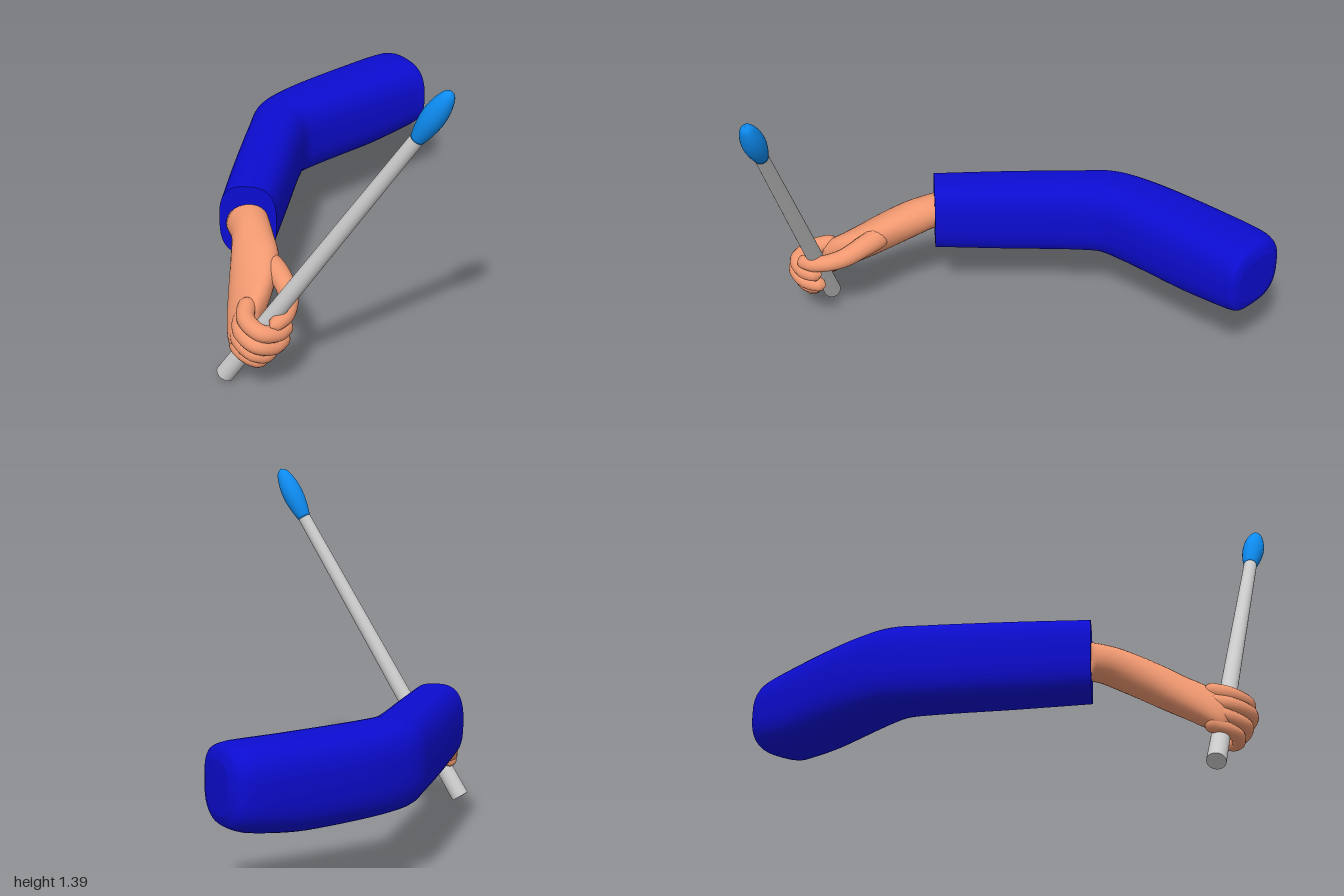
import * as THREE from 'three';

const V = (x, y, z) => new THREE.Vector3(x, y, z);

// Skin a list of equal-length closed rings, closing both ends (a repeated ring makes a crease)
function loft(rings) {
  const n = rings[0].length, pos = [], idx = [];
  rings.forEach(r => r.forEach(p => pos.push(p.x, p.y, p.z)));
  for (let i = 0; i < rings.length - 1; i++) for (let j = 0; j < n; j++) {
    const a = i * n + j, b = i * n + (j + 1) % n;
    idx.push(a, b, a + n, b, b + n, a + n);
  }
  const cap = (ring, base, flip) => {
    const c = ring.reduce((s, p) => s.add(p), V(0, 0, 0)).divideScalar(n);
    const k = pos.length / 3;
    pos.push(c.x, c.y, c.z);
    for (let j = 0; j < n; j++) {
      const a = base + j, b = base + (j + 1) % n;
      if (flip) idx.push(k, b, a); else idx.push(k, a, b);
    }
  };
  cap(rings[0], 0, true);
  cap(rings[rings.length - 1], (rings.length - 1) * n, false);
  // Turn the faces outward if the enclosed volume comes out negative
  let vol = 0;
  const P = i => V(pos[3 * i], pos[3 * i + 1], pos[3 * i + 2]);
  for (let i = 0; i < idx.length; i += 3) vol += P(idx[i]).dot(P(idx[i + 1]).cross(P(idx[i + 2])));
  if (vol < 0) idx.reverse();
  const g = new THREE.BufferGeometry();
  g.setAttribute('position', new THREE.Float32BufferAttribute(pos, 3));
  g.setIndex(idx);
  g.computeVertexNormals();
  return g;
}

const sample = (pts, n) => {
  const c = new THREE.CatmullRomCurve3(pts, false, 'centripetal');
  return Array.from({ length: n + 1 }, (_, i) => c.getPoint(i / n));
};

// Tapered, round-ended finger through a few points
function finger(points, r0, r1) {
  const curve = new THREE.CatmullRomCurve3(points.map(p => V(...p)));
  const N = 28, M = 14, len = curve.getLength();
  const { normals, binormals } = curve.computeFrenetFrames(N, false);
  const rings = [];
  for (let i = 0; i <= N; i++) {
    const t = i / N, c = curve.getPointAt(t);
    let r = THREE.MathUtils.lerp(r0, r1, t);
    const d = Math.min(t, 1 - t) * len;
    if (d < r) r *= Math.sqrt(Math.max(0.01, 1 - (1 - d / r) ** 2));
    rings.push(Array.from({ length: M }, (_, j) => {
      const a = j / M * Math.PI * 2;
      return c.clone().addScaledVector(normals[i], r * Math.cos(a)).addScaledVector(binormals[i], r * Math.sin(a));
    }));
  }
  return loft(rings);
}

// Bent sleeve: outer edge, inner edge and bottom/top height at each station
function sleeveGeometry() {
  const stations = [
    [-0.52, -0.06, -0.32, 0.05, 0.285, 0.595],
    [-0.37, -0.32, -0.17, -0.19, 0.275, 0.60],
    [-0.20, -0.60, 0.00, -0.46, 0.268, 0.603],
    [-0.12, -0.72, 0.045, -0.515, 0.265, 0.604],
    [0.02, -0.81, 0.11, -0.545, 0.26, 0.604],
    [0.33, -0.93, 0.38, -0.63, 0.255, 0.60],
    [0.56, -0.995, 0.64, -0.70, 0.28, 0.595],
    [0.62, -0.99, 0.682, -0.712, 0.30, 0.58],
    [0.653, -0.95, 0.69, -0.75, 0.345, 0.535],
  ];
  const n = 48, M = 40, e = 2 / 2.8;
  const outer = sample(stations.map(s => V(s[0], 0, s[1])), n);
  const inner = sample(stations.map(s => V(s[2], 0, s[3])), n);
  const high = sample(stations.map(s => V(s[4], s[5], 0)), n);
  const pw = v => Math.sign(v) * Math.abs(v) ** e;
  const rings = outer.map((o, i) => Array.from({ length: M }, (_, j) => {
    const a = j / M * Math.PI * 2;
    const p = o.clone().lerp(inner[i], 0.5 + 0.5 * pw(Math.cos(a)));
    p.y = THREE.MathUtils.lerp(high[i].x, high[i].y, 0.5 + 0.5 * pw(Math.sin(a)));
    return p;
  }));
  rings.unshift(rings[0].map(p => p.clone())); // crisp cuff edge
  return loft(rings);
}

// Wrist and palm: tilted ellipses [x, y, z, half length, half thickness, tilt]
function palmGeometry() {
  const s = [
    [-0.42, 0.44, -0.04, 0.085, 0.07, 0.7],
    [-0.43, 0.435, 0.05, 0.085, 0.072, 0.7],
    [-0.46, 0.40, 0.15, 0.105, 0.075, 0.75],
    [-0.495, 0.355, 0.25, 0.132, 0.072, 0.8],
    [-0.535, 0.31, 0.33, 0.135, 0.066, 0.85],
    [-0.58, 0.265, 0.41, 0.122, 0.055, 1.0],
    [-0.60, 0.25, 0.45, 0.08, 0.03, 1.1],
  ];
  const n = 30, M = 28;
  const c = sample(s.map(q => V(q[0], q[1], q[2])), n);
  const d = sample(s.map(q => V(q[3], q[4], q[5])), n);
  return loft(c.map((p, i) => Array.from({ length: M }, (_, j) => {
    const a = j / M * Math.PI * 2, u = d[i].x * Math.cos(a), v = d[i].y * Math.sin(a);
    const cs = Math.cos(d[i].z), sn = Math.sin(d[i].z);
    return V(p.x + u * cs - v * sn, p.y + u * sn + v * cs, p.z);
  })));
}

export function createModel() {
  const model = new THREE.Group();
  const mat = color => new THREE.MeshStandardMaterial({ color });
  const grey = mat(0xcccccc), skin = mat(0xf09870), cloth = mat(0x0c0cd0), blue = mat(0x0d8bf0);
  const add = (name, geo, m, parent = model) => {
    const mesh = new THREE.Mesh(geo, m);
    mesh.name = name;
    parent.add(mesh);
    return mesh;
  };

  add('sleeve', sleeveGeometry(), cloth);

  // Hand closed round the stick
  const hand = new THREE.Group();
  hand.name = 'hand';
  model.add(hand);
  add('palm', palmGeometry(), skin, hand);
  const fingers = {
    indexFinger: [[-0.565, 0.335, 0.38], [-0.61, 0.315, 0.47], [-0.585, 0.30, 0.56], [-0.52, 0.285, 0.565], [-0.455, 0.285, 0.52]],
    middleFinger: [[-0.59, 0.28, 0.38], [-0.63, 0.265, 0.47], [-0.605, 0.25, 0.56], [-0.535, 0.225, 0.56], [-0.46, 0.22, 0.50]],
    ringFinger: [[-0.605, 0.23, 0.37], [-0.632, 0.215, 0.45], [-0.61, 0.20, 0.535], [-0.56, 0.18, 0.54], [-0.51, 0.18, 0.49]],
    littleFinger: [[-0.61, 0.19, 0.36], [-0.632, 0.17, 0.43], [-0.61, 0.158, 0.50], [-0.575, 0.145, 0.515], [-0.545, 0.15, 0.48]],
  };
  Object.entries(fingers).forEach(([name, pts], i) =>
    add(name, finger(pts, 0.037 - i * 0.002, 0.031 - i * 0.002), skin, hand));
  add('thumb', finger([[-0.44, 0.40, 0.22], [-0.42, 0.385, 0.33], [-0.425, 0.355, 0.44],
    [-0.475, 0.335, 0.535], [-0.55, 0.325, 0.575]], 0.05, 0.028), skin, hand);

  // Stick and its oval tip share one axis
  const base = V(-0.665, 0.02, 0.37), top = V(-0.115, 1.19, 0.9), end = V(-0.037, 1.385, 0.985);
  const along = (mesh, a, b) => {
    mesh.position.copy(a).lerp(b, 0.5);
    mesh.quaternion.setFromUnitVectors(V(0, 1, 0), b.clone().sub(a).normalize());
  };
  along(add('stick', new THREE.CylinderGeometry(0.027, 0.037, base.distanceTo(top), 32), grey), base, top);
  const h = top.distanceTo(end) + 0.015;
  const profile = [[0.027, 0], [0.037, 0.18], [0.044, 0.4], [0.043, 0.6], [0.034, 0.8], [0.02, 0.94], [0, 1]]
    .map(([r, y]) => V(r, (y - 0.5) * h, 0));
  const tip = sample(profile, 24).map(p => new THREE.Vector2(Math.max(0, p.x), p.y));
  tip.unshift(new THREE.Vector2(0, -h / 2));
  along(add('stickTip', new THREE.LatheGeometry(tip, 32), blue), top, end);

  return model;
}
